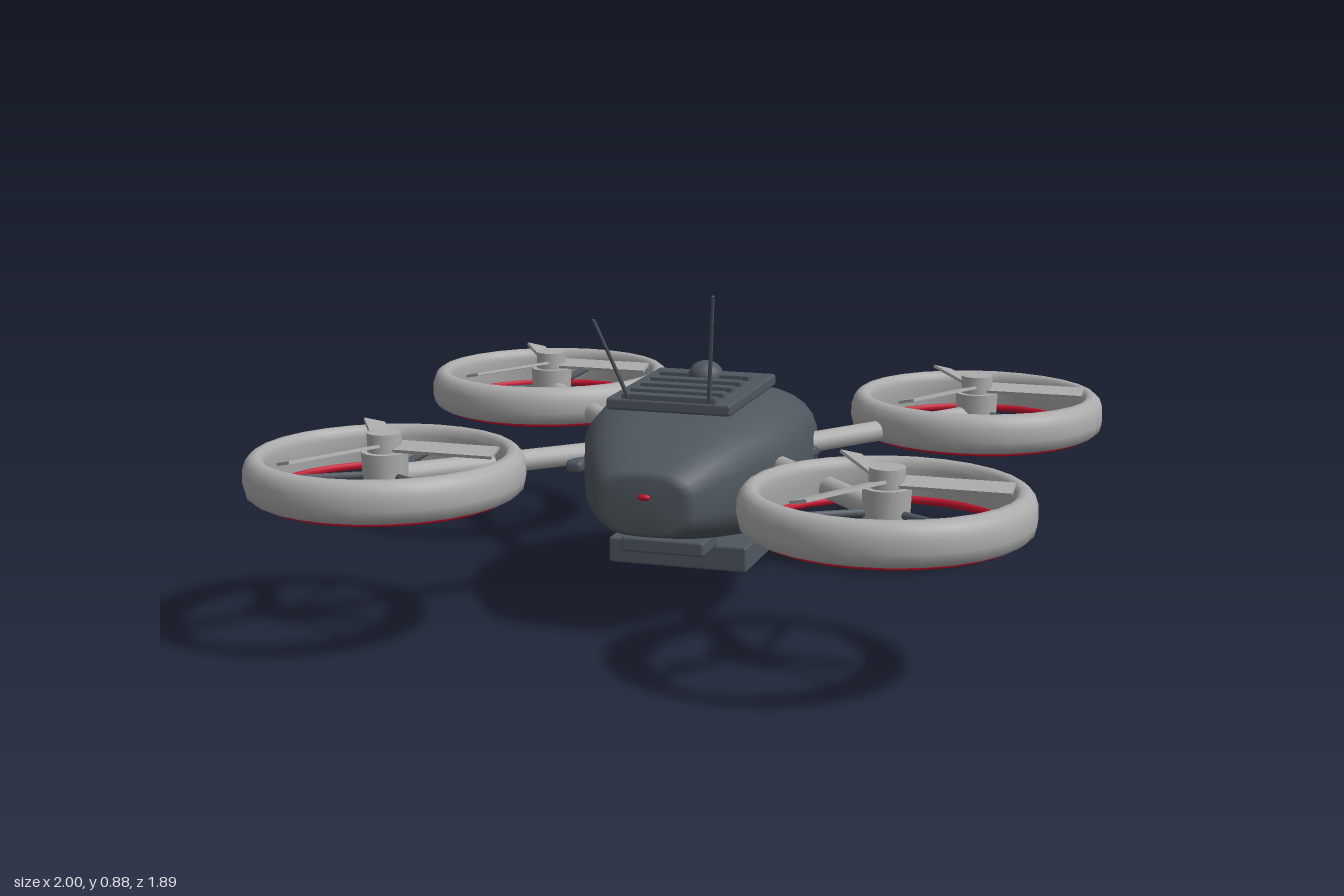
import * as THREE from 'three';
import { toCreasedNormals } from 'three/addons/utils/BufferGeometryUtils.js';
import { RoundedBoxGeometry } from 'three/addons/geometries/RoundedBoxGeometry.js';

const mat = (name, color) => {
  const m = new THREE.MeshStandardMaterial({ color });
  m.name = name;
  return m;
};

export function createModel() {
  const slate = mat('slate', 0x4f575f);
  const grey = mat('light grey', 0xabacab);
  const red = mat('red', 0xc4142e);
  const model = new THREE.Group();
  model.name = 'quadcopter';

  const add = (parent, name, geo, material, x = 0, y = 0, z = 0) => {
    const mesh = new THREE.Mesh(geo, material);
    mesh.name = name;
    mesh.position.set(x, y, z);
    parent.add(mesh);
    return mesh;
  };
  const box = (w, h, d, r = 0.008) => new RoundedBoxGeometry(w, h, d, 1, r);

  // Cylinder running between two points
  const rod = (parent, name, a, b, ra, rb, material, sides = 12) => {
    const from = new THREE.Vector3(...a), to = new THREE.Vector3(...b);
    const dir = to.clone().sub(from);
    const mesh = add(parent, name, new THREE.CylinderGeometry(rb, ra, dir.length(), sides), material);
    mesh.position.copy(from).add(to).multiplyScalar(0.5);
    mesh.quaternion.setFromUnitVectors(new THREE.Vector3(0, 1, 0), dir.normalize());
    return mesh;
  };

  // Body: rounded-square cross-sections from nose to tail [z, half width, bottom, top]
  const sections = [
    [0.462, 0.1, 0.292, 0.43], [0.455, 0.13, 0.281, 0.45], [0.38, 0.175, 0.26, 0.488],
    [0.28, 0.225, 0.236, 0.525], [0.12, 0.285, 0.207, 0.562], [0, 0.297, 0.198, 0.575],
    [-0.1, 0.292, 0.197, 0.573], [-0.25, 0.268, 0.198, 0.547], [-0.38, 0.218, 0.207, 0.5],
    [-0.46, 0.155, 0.221, 0.455], [-0.495, 0.108, 0.236, 0.42], [-0.502, 0.08, 0.25, 0.4],
  ];
  const N = 28, pos = [], idx = [];
  const pw = (v) => Math.sign(v) * Math.abs(v) ** (2 / 3);
  for (const [z, w, y0, y1] of sections) {
    for (let j = 0; j < N; j++) {
      const t = (j / N) * Math.PI * 2;
      pos.push(w * pw(Math.cos(t)), (y0 + y1) / 2 + ((y1 - y0) / 2) * pw(Math.sin(t)), z);
    }
  }
  const last = sections.length - 1, nose = sections.length * N, tail = nose + 1;
  for (const [z, , y0, y1] of [sections[0], sections[last]]) pos.push(0, (y0 + y1) / 2, z);
  for (let j = 0; j < N; j++) {
    const k = (j + 1) % N;
    for (let i = 0; i < last; i++) {
      const a = i * N + j, b = i * N + k, c = a + N, d = b + N;
      idx.push(a, c, b, b, c, d);
    }
    idx.push(nose, j, k, tail, last * N + k, last * N + j);
  }
  const bodyGeo = new THREE.BufferGeometry();
  bodyGeo.setAttribute('position', new THREE.Float32BufferAttribute(pos, 3));
  bodyGeo.setIndex(idx);
  bodyGeo.computeVertexNormals();
  add(model, 'body', bodyGeo, slate);
  const noseLight = add(model, 'noseLight', new THREE.SphereGeometry(0.017, 16, 10), red, 0, 0.386, 0.467);
  noseLight.scale.set(1, 0.5, 0.45);

  // Roof plate with ribs, dome and antennas
  add(model, 'roofPlate', box(0.335, 0.032, 0.445), slate, 0, 0.577, 0.05);
  for (const z of [-0.06, 0.022, 0.102, 0.18, 0.255])
    add(model, 'roofRib', box(0.254, 0.02, 0.028, 0.004), slate, 0, 0.597, z);
  const dome = add(model, 'roofDome', new THREE.SphereGeometry(0.048, 20, 12), slate, 0, 0.598, -0.065);
  dome.scale.y = 0.86;
  rod(model, 'leftAntenna', [0.107, 0.59, 0.262], [0.155, 0.888, 0.385], 0.006, 0.004, slate, 8);
  rod(model, 'rightAntenna', [-0.107, 0.59, 0.262], [-0.167, 0.81, 0.36], 0.006, 0.004, slate, 8);

  // Belly boxes
  add(model, 'bellyPack', box(0.38, 0.07, 0.255), slate, 0, 0.166, 0.068);
  add(model, 'bellySensor', box(0.224, 0.04, 0.125), slate, 0, 0.22, 0.26);

  // Tail camera: ball with a dark upper shell, hoop, lens and red tip
  const eye = new THREE.Group();
  eye.name = 'tailCamera';
  eye.position.set(0, 0.153, -0.433);
  model.add(eye);
  add(eye, 'cameraBall', new THREE.SphereGeometry(0.111, 28, 20), grey);
  const shell = new THREE.SphereGeometry(0.114, 24, 8, 0, Math.PI * 2, 0, 0.7);
  add(eye, 'cameraShell', shell, slate).rotation.x = 0.85;
  add(eye, 'cameraHoop', new THREE.TorusGeometry(0.139, 0.008, 8, 36), slate).rotation.y = Math.PI / 2;
  rod(eye, 'lensBarrel', [0, 0.003, -0.085], [0, 0.003, -0.14], 0.063, 0.06, slate, 16);
  rod(eye, 'lensRim', [0, 0.003, -0.14], [0, 0.003, -0.155], 0.048, 0.04, slate, 16);
  add(eye, 'lensTip', new THREE.SphereGeometry(0.026, 16, 12), red, 0, 0.003, -0.163);

  // Rotor duct profile: bottom, outer wall, rounded top, inner wall
  const duct = toCreasedNormals(new THREE.LatheGeometry([
    [0.31, 0.384], [0.335, 0.385], [0.349, 0.396], [0.355, 0.42], [0.354, 0.453], [0.346, 0.477],
    [0.332, 0.489], [0.316, 0.491], [0.304, 0.482], [0.301, 0.462], [0.303, 0.43], [0.31, 0.384],
  ].map(([r, y]) => new THREE.Vector2(r, y)), 28), 1.2);

  for (const sx of [1, -1]) for (const sz of [1, -1]) {
    const rotor = new THREE.Group();
    rotor.name = (sz > 0 ? 'front' : 'rear') + (sx > 0 ? 'Left' : 'Right') + 'Rotor';
    rotor.position.set(sx * 0.644, 0, sz * 0.591);
    model.add(rotor);
    add(rotor, 'duct', duct, grey);
    add(rotor, 'ductTrim', new THREE.TorusGeometry(0.311, 0.011, 8, 28), red, 0, 0.384, 0).rotation.x = Math.PI / 2;
    rod(rotor, 'motor', [0, 0.385, 0], [0, 0.49, 0], 0.055, 0.06, grey, 16);
    rod(rotor, 'hubCap', [0, 0.49, 0], [0, 0.538, 0], 0.044, 0.044, grey, 16);

    // Three pitched blades, three stator struts
    for (let i = 0; i < 3; i++) {
      const spoke = new THREE.Group();
      spoke.name = 'spoke';
      spoke.rotation.y = (i * Math.PI * 2) / 3;
      rotor.add(spoke);
      add(spoke, 'blade', new THREE.BoxGeometry(0.27, 0.008, 0.056), grey, 0.164, 0.504, 0).rotation.x = 0.25;
      rod(spoke, 'strut', [0, 0.43, 0], [0, 0.43, -0.305], 0.01, 0.01, slate, 8);
    }

    // Arm and its shoulder bracket on the body side
    rod(model, 'arm', [sx * 0.644, 0.425, sz * 0.591], [sx * 0.25, 0.412, sz * 0.13], 0.028, 0.028, grey, 14);
    add(model, 'armBracket', box(0.05, 0.036, 0.13, 0.015), slate, sx * 0.271, 0.393, sz * 0.175);
  }
  return model;
}
